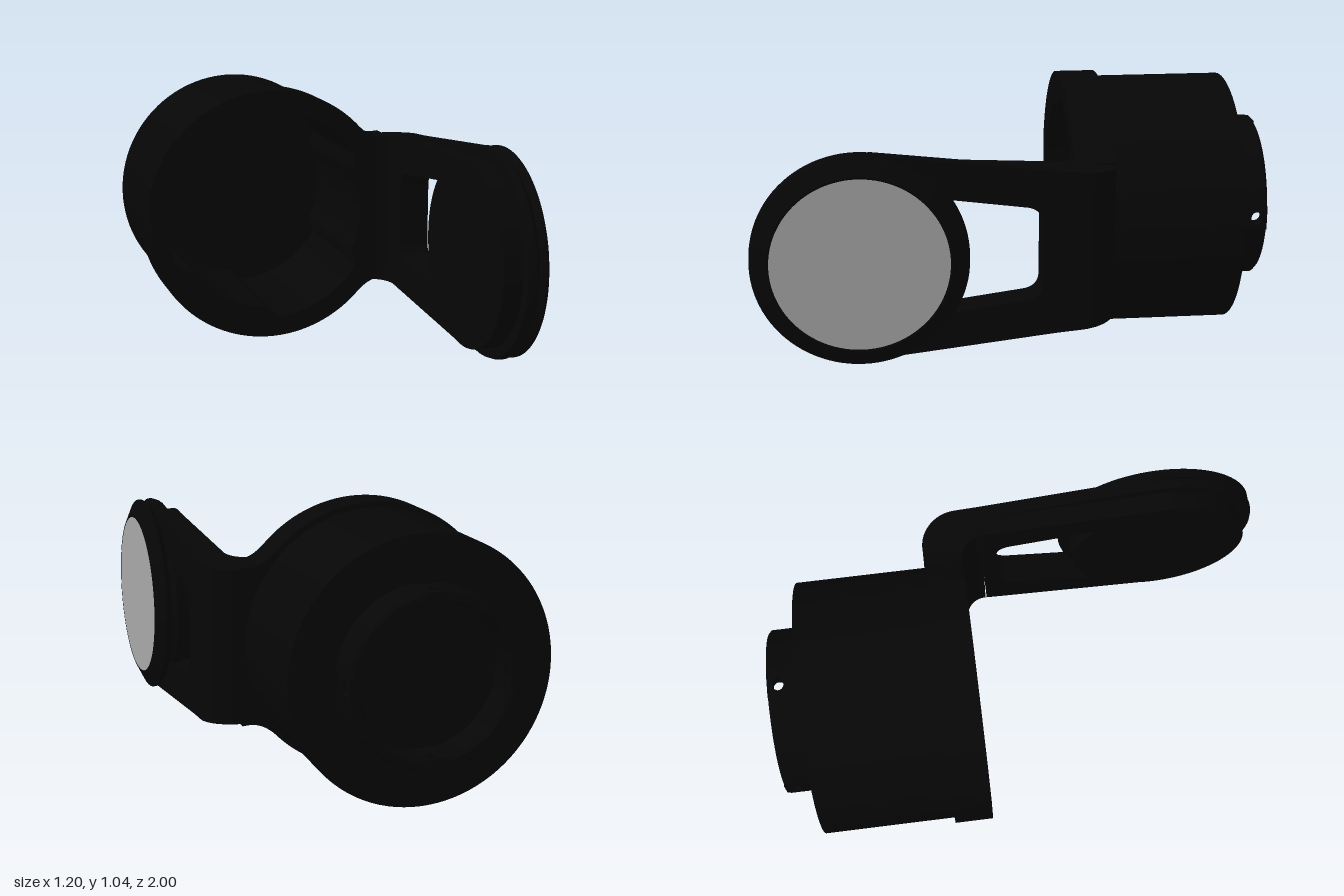
import * as THREE from 'three';
import { toCreasedNormals } from 'three/addons/utils/BufferGeometryUtils.js';

const CX = -0.1, CY = 0.522;      // housing axis
const DISC_Z = 0.6;               // centre of the side disc
const deg = Math.PI / 180;

export function createModel() {
  const model = new THREE.Group();
  const black = new THREE.MeshStandardMaterial({ color: 0x060606 });
  const grey = new THREE.MeshStandardMaterial({ color: 0xaaaaaa });

  const add = (name, geo, parent = model, mat = black) => {
    const mesh = new THREE.Mesh(toCreasedNormals(geo, 0.5), mat);
    mesh.name = name;
    parent.add(mesh);
  };
  const extrude = (shape, depth) =>
    new THREE.ExtrudeGeometry(shape, { depth, bevelEnabled: false, curveSegments: 48 });

  // Cavity outline: three shallow inward lobes
  const cavity = () => {
    const pts = [];
    for (let i = 0; i < 144; i++) {
      const a = -i * 2.5 * deg;
      const r = 0.415 - 0.025 * Math.tanh(7 * Math.cos(3 * a));
      pts.push(new THREE.Vector2(r * Math.cos(a), r * Math.sin(a)));
    }
    return new THREE.Path(pts);
  };

  const housing = new THREE.Group();
  housing.name = 'housing';
  housing.position.set(CX, CY, 0);
  model.add(housing);

  // Front flange with a flat on one side and a neck towards the arm
  const flange = new THREE.Shape();
  flange.moveTo(0.515, -0.306);
  flange.lineTo(0.515, 0.306);
  flange.lineTo(0.49, 0.304);
  flange.quadraticCurveTo(0.435, 0.302, 0.382, 0.356);
  flange.absarc(0, 0, 0.522, 43 * deg, 165 * deg, false);
  flange.absarc(0, 0, 0.522, 195 * deg, 317 * deg, false);
  flange.quadraticCurveTo(0.435, -0.302, 0.49, -0.304);
  flange.holes.push(cavity());
  add('frontFlange', extrude(flange, 0.15).translate(0, 0, -0.36), housing);

  // Hollow barrel and its rear wall
  const barrel = new THREE.Shape().absarc(0, 0, 0.5, 0, Math.PI * 2, false);
  barrel.holes.push(cavity());
  add('barrel', extrude(barrel, 0.45).translate(0, 0, -0.81), housing);
  add('rearWall', new THREE.CylinderGeometry(0.5, 0.5, 0.06, 96)
    .rotateX(Math.PI / 2).translate(0, 0, -0.84), housing);

  // Rear collar: four arcs joined by four drilled segments
  const R = 0.325, RI = 0.28, gap = 0.15;
  const section = [[RI, -0.99], [RI + 0.01, -1], [R - 0.01, -1], [R, -0.99],
    [R, -0.9], [R + 0.005, -0.87], [RI, -0.87], [RI, -0.99]]
    .map(([x, y]) => new THREE.Vector2(x, y));
  for (let k = 0; k < 4; k++) {
    add('rearCollarArc', new THREE.LatheGeometry(section, 20,
      k * Math.PI / 2 + gap, Math.PI / 2 - 2 * gap).rotateX(Math.PI / 2), housing);

    const tab = new THREE.Shape();
    tab.moveTo(-gap, -1);
    tab.lineTo(gap, -1);
    tab.lineTo(gap, -0.87);
    tab.lineTo(-gap, -0.87);
    const hole = new THREE.Path();
    hole.absellipse(0, -0.958, 0.022 / RI, 0.022, 0, Math.PI * 2, true);
    tab.holes.push(hole);
    const geo = extrude(tab, R - RI);
    const p = geo.attributes.position;
    for (let i = 0; i < p.count; i++) {
      const a = k * Math.PI / 2 + p.getX(i), r = RI + p.getZ(i);
      p.setXYZ(i, r * Math.cos(a), r * Math.sin(a), p.getY(i));
    }
    add('rearCollarDrilledPart', geo, housing);
  }

  const arm = new THREE.Group();
  arm.name = 'arm';
  arm.position.y = CY;
  model.add(arm);

  // Rounded elbow from flange to arm, widening slightly forwards
  const elbow = new THREE.Shape();
  elbow.moveTo(0.33, 0.36);
  elbow.lineTo(0.33, 0.21);
  elbow.absarc(0.33, 0.125, 0.085, Math.PI / 2, 0, true);
  elbow.lineTo(0.54, 0.12);
  elbow.absarc(0.4, 0.22, 0.14, 0, Math.PI / 2, false);
  const bend = extrude(elbow, 2).translate(0, 0, -1).rotateX(-Math.PI / 2);
  const bp = bend.attributes.position;
  for (let i = 0; i < bp.count; i++) {
    bp.setY(i, bp.getY(i) * (0.318 + 0.09 * (bp.getZ(i) + 0.12)));
  }
  add('elbow', bend, arm);

  // Two-layer fork, drawn in z and y, its prongs running tangent into the disc
  const fork = (name, r, xOuter, thickness) => {
    const tipZ = DISC_Z - 0.1 * r, tipY = 0.99 * r;
    const s = new THREE.Shape();
    s.moveTo(-0.12, -0.318);
    s.lineTo(tipZ, -tipY);
    s.lineTo(tipZ, -0.26);
    s.lineTo(-0.01, -0.183);
    s.quadraticCurveTo(-0.07, -0.175, -0.07, -0.115);
    s.lineTo(-0.07, 0.115);
    s.quadraticCurveTo(-0.07, 0.175, -0.01, 0.183);
    s.lineTo(tipZ, 0.26);
    s.lineTo(tipZ, tipY);
    s.lineTo(-0.12, 0.318);
    add(name, extrude(s, thickness).rotateY(-Math.PI / 2).translate(xOuter, 0, 0), arm);
  };
  fork('armOuterLayer', 0.4, 0.54, 0.05);
  fork('armInnerLayer', 0.355, 0.49, 0.075);

  // Side disc: inner boss, double-ridged rim and a pale face
  add('discBoss', new THREE.CylinderGeometry(0.355, 0.355, 0.08, 96)
    .rotateZ(-Math.PI / 2).translate(0.455, 0, DISC_Z), arm);
  const rim = [[0, 0.49], [0.395, 0.49], [0.403, 0.512], [0.403, 0.522], [0.382, 0.541],
    [0.4, 0.558], [0.4, 0.568], [0.335, 0.6], [0.327, 0.597], [0, 0.597]]
    .map(([x, y]) => new THREE.Vector2(x, y));
  add('discRim', new THREE.LatheGeometry(rim, 96)
    .rotateZ(-Math.PI / 2).translate(0, 0, DISC_Z), arm);
  add('discFace', new THREE.CircleGeometry(0.328, 96)
    .rotateY(Math.PI / 2).translate(0.6, 0, DISC_Z), arm, grey);

  return model;
}
